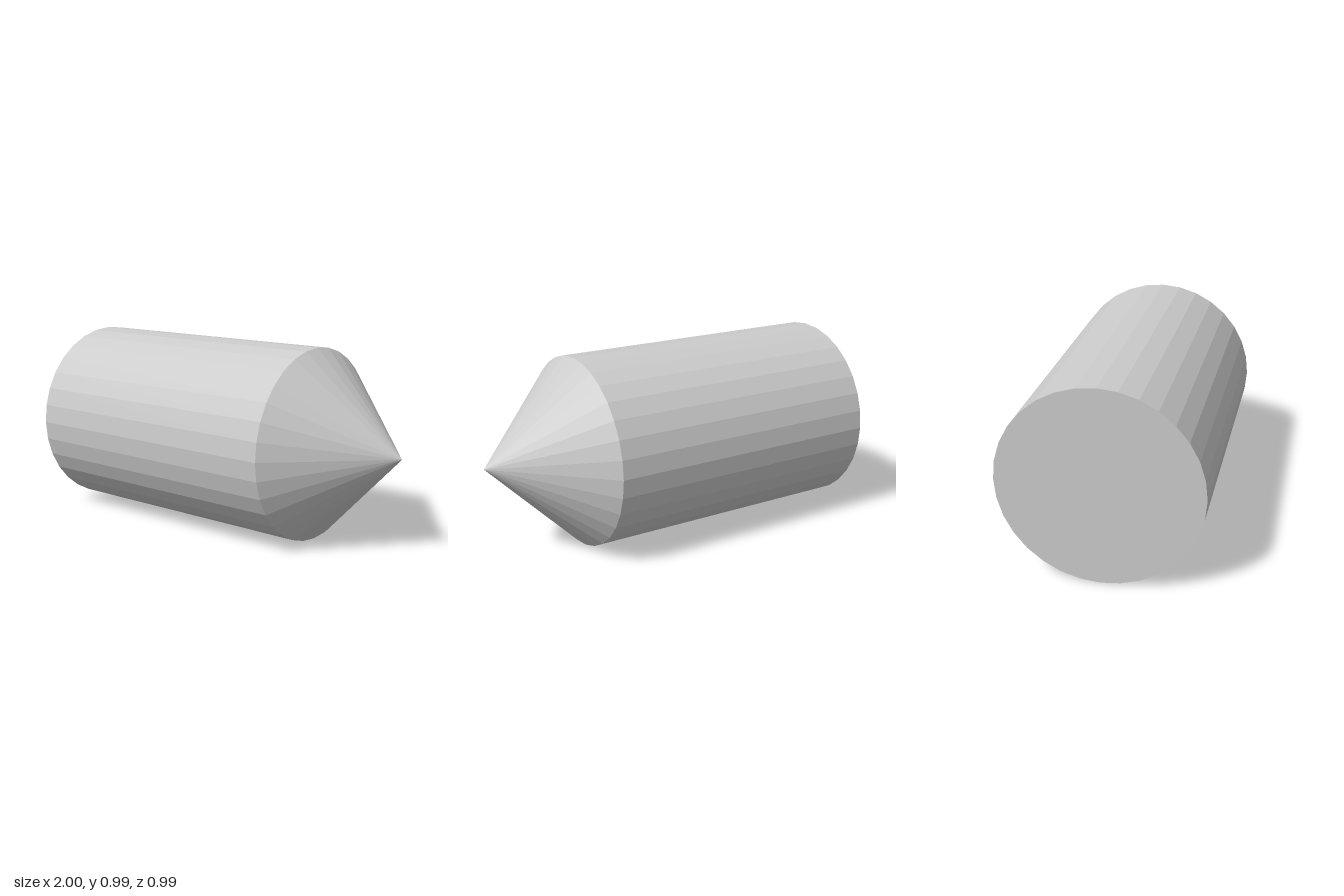
import * as THREE from 'three';

const RADIUS = 0.493;
const SIDES = 32;
const BACK = -1, SHOULDER = 0.503, TIP = 1;

export function createModel() {
  const group = new THREE.Group();
  group.name = 'pointedCylinder';
  const material = new THREE.MeshStandardMaterial({ color: 0xcccccc, flatShading: true });

  // Lay an upright geometry along +x, spanning x0 to x1
  const addAlongX = (name, geometry, x0, x1) => {
    geometry.rotateZ(-Math.PI / 2);
    const mesh = new THREE.Mesh(geometry, material);
    mesh.name = name;
    mesh.position.set((x0 + x1) / 2, RADIUS, 0);
    group.add(mesh);
  };

  // Cylindrical body, closed at the back
  addAlongX('body', new THREE.CylinderGeometry(RADIUS, RADIUS, SHOULDER - BACK, SIDES), BACK, SHOULDER);

  // Conical tip, open where it meets the body
  addAlongX('tip', new THREE.ConeGeometry(RADIUS, TIP - SHOULDER, SIDES, 1, true), SHOULDER, TIP);

  return group;
}
